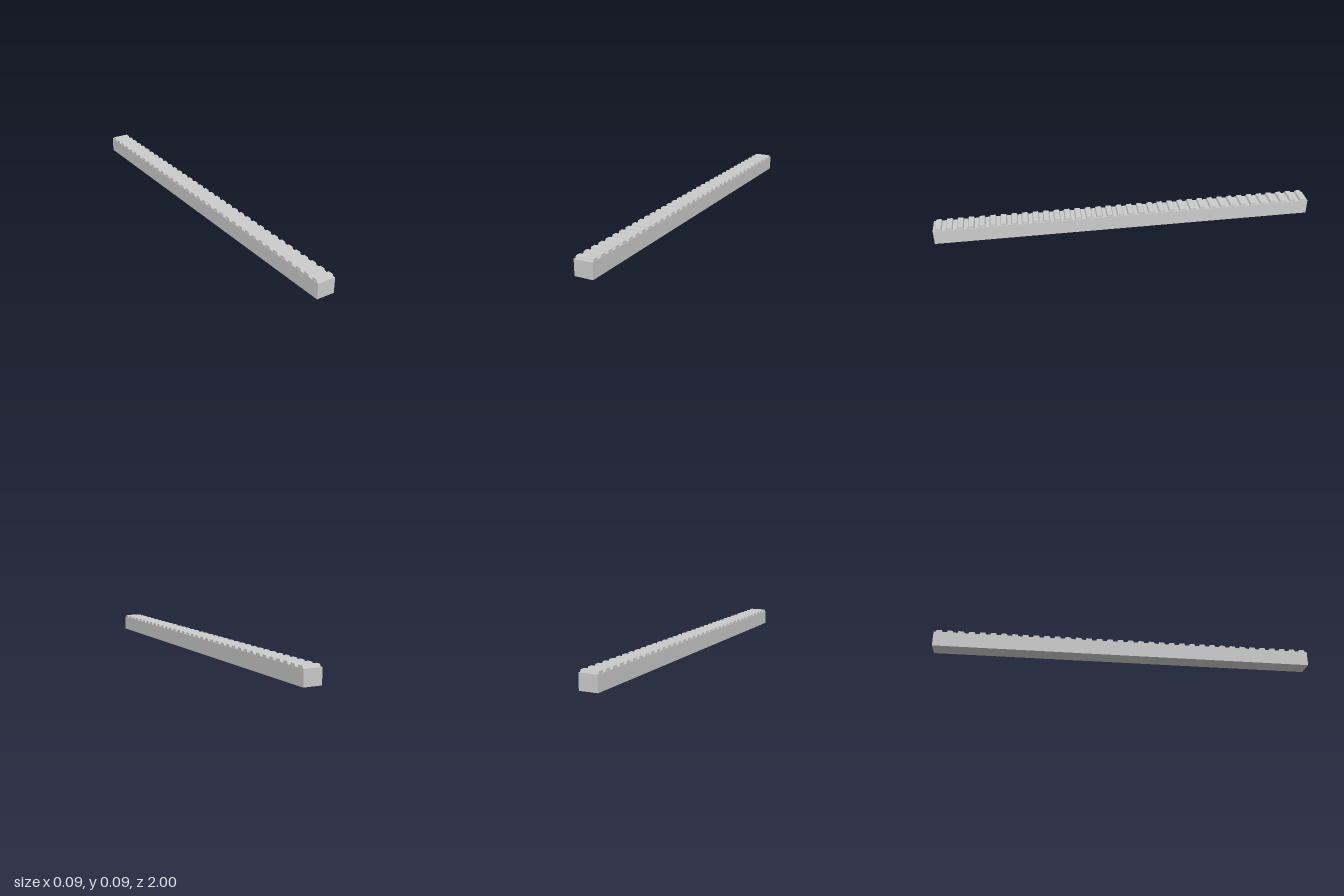
import * as THREE from 'three';

const LENGTH = 2, BAR_WIDTH = 0.095, BAR_HEIGHT = 0.079;
const TOOTH_COUNT = 36, TOOTH_WIDTH = 0.091, TOOTH_HEIGHT = 0.011;

export function createModel() {
  const group = new THREE.Group();
  const material = new THREE.MeshStandardMaterial({ color: 0xcccccc, flatShading: true });

  // Straight square bar
  const bar = new THREE.Mesh(new THREE.BoxGeometry(BAR_WIDTH, BAR_HEIGHT, LENGTH), material);
  bar.name = 'rackBar';
  bar.position.y = BAR_HEIGHT / 2;
  group.add(bar);

  // One tapered tooth, extruded across the bar
  const profile = new THREE.Shape([
    new THREE.Vector2(-0.018, 0),
    new THREE.Vector2(0.018, 0),
    new THREE.Vector2(0.013, TOOTH_HEIGHT),
    new THREE.Vector2(-0.013, TOOTH_HEIGHT),
  ]);
  const toothGeometry = new THREE.ExtrudeGeometry(profile, { depth: TOOTH_WIDTH, bevelEnabled: false });
  toothGeometry.translate(0, 0, -TOOTH_WIDTH / 2);
  toothGeometry.rotateY(Math.PI / 2);

  // Evenly spaced row of teeth along the top
  const teeth = new THREE.Group();
  teeth.name = 'teeth';
  const pitch = LENGTH / TOOTH_COUNT;
  for (let i = 0; i < TOOTH_COUNT; i++) {
    const tooth = new THREE.Mesh(toothGeometry, material);
    tooth.name = `tooth${i + 1}`;
    tooth.position.set(0, BAR_HEIGHT, (i + 0.5) * pitch - LENGTH / 2);
    teeth.add(tooth);
  }
  group.add(teeth);

  return group;
}
